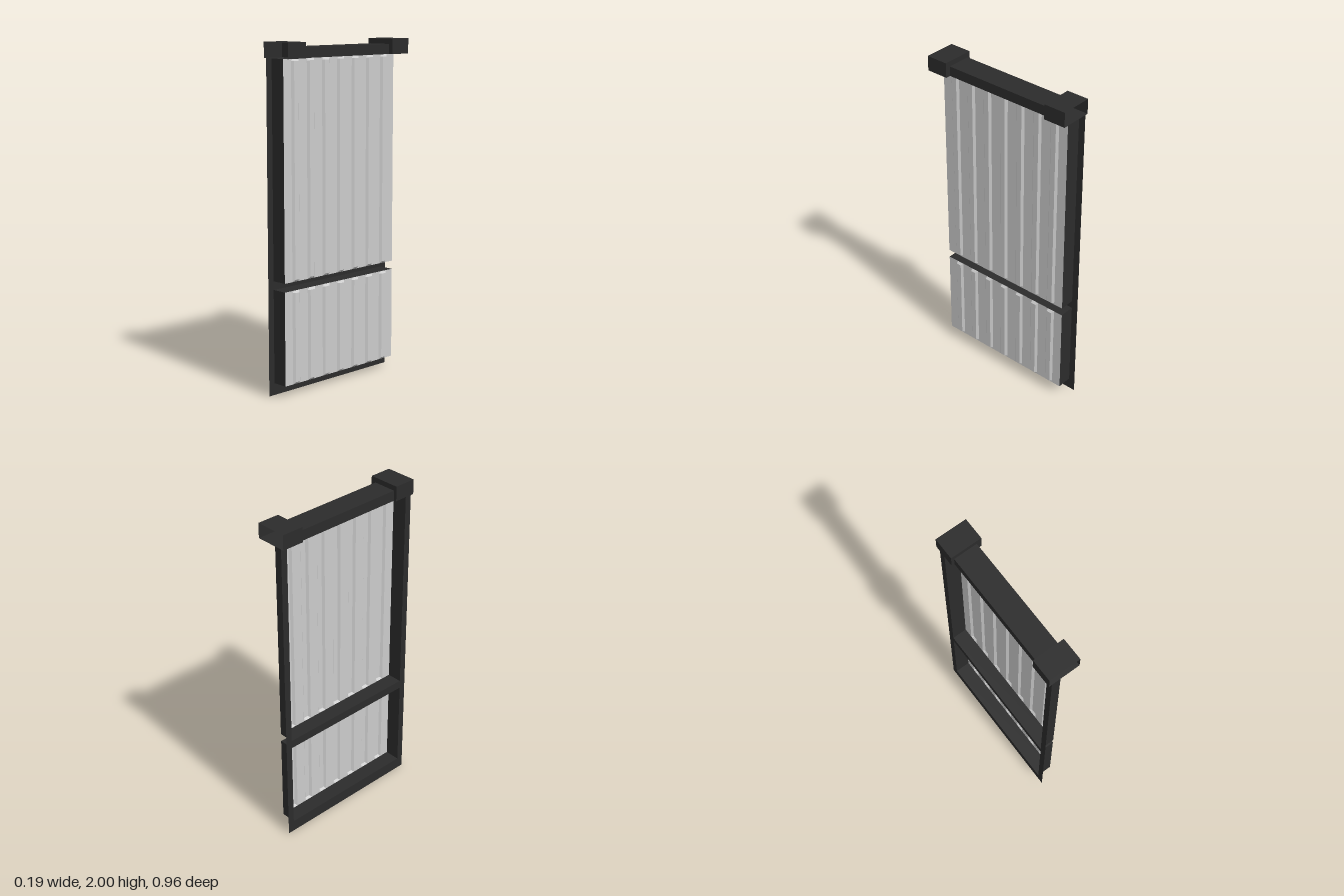
import * as THREE from 'three';

const dark = new THREE.MeshStandardMaterial({ color: 0x2b2b2b, side: THREE.DoubleSide, flatShading: true });
const grey = new THREE.MeshStandardMaterial({ color: 0xcccccc, side: THREE.DoubleSide, flatShading: true });

const BACK = -0.078, FRONT = 0.015; // depth of the panel trays along x
const HALF = 0.44;                  // half width of the openings along z
const TOP = 1.912;
const BAYS = [[0.07, 0.615], [0.665, TOP - 0.003]]; // lower and upper bay heights

function add(parent, name, geometry, material) {
  const mesh = new THREE.Mesh(geometry, material);
  mesh.name = name;
  parent.add(mesh);
  return mesh;
}

// Box between two corners, leaving out faces (0..5 = +x -x +y -y +z -z)
function box(min, max, open = []) {
  const g = new THREE.BoxGeometry(max[0] - min[0], max[1] - min[1], max[2] - min[2]);
  const index = Array.from(g.index.array).filter((_, i) => !open.includes(Math.floor(i / 6)));
  g.setIndex(index);
  g.clearGroups();
  g.translate((min[0] + max[0]) / 2, (min[1] + max[1]) / 2, (min[2] + max[2]) / 2);
  return g;
}

// Thin frame plate with one opening per bay
function framePlate() {
  const rect = (P, x0, x1, y0, y1) =>
    new P([[x0, y0], [x1, y0], [x1, y1], [x0, y1]].map(p => new THREE.Vector2(...p)));
  const shape = rect(THREE.Shape, -0.48, 0.48, 0, TOP);
  for (const [y0, y1] of BAYS) shape.holes.push(rect(THREE.Path, -HALF, HALF, y0, y1));
  return new THREE.ShapeGeometry(shape).rotateY(Math.PI / 2).translate(BACK, 0, 0);
}

// Ribbed sheet: a trapezoid profile along z, with ribs sloping to nothing at both ends
function ribbedSheet(y0, y1) {
  const profile = [[HALF, 0]];
  for (let i = 3; i >= -3; i--) {
    const z = i * 0.118;
    profile.push([z + 0.028, 0], [z + 0.016, 0.012], [z - 0.016, 0.012], [z - 0.028, 0]);
  }
  profile.push([-HALF, 0]);
  const rows = [[y0, 0], [y0 + 0.013, 1], [y1 - 0.013, 1], [y1, 0]];
  const pos = [], index = [], n = profile.length;
  for (const [y, k] of rows) for (const [z, h] of profile) pos.push(FRONT + h * k, y, z);
  for (let r = 0; r < rows.length - 1; r++) {
    for (let c = 0; c < n - 1; c++) {
      const a = r * n + c, b = a + 1, d = a + n, e = d + 1;
      index.push(a, b, e, a, e, d);
    }
  }
  const g = new THREE.BufferGeometry();
  g.setAttribute('position', new THREE.Float32BufferAttribute(pos, 3));
  g.setIndex(index);
  const flat = g.toNonIndexed();
  flat.computeVertexNormals();
  return flat;
}

export function createModel() {
  const model = new THREE.Group();
  model.name = 'wallPanel';

  add(model, 'framePlate', framePlate(), dark);

  // Each bay: four tray sides standing out from the plate, closed by a ribbed sheet
  BAYS.forEach(([y0, y1], i) => {
    const bay = new THREE.Group();
    bay.name = i ? 'upperBay' : 'lowerBay';
    add(bay, 'traySides', box([BACK, y0, -HALF], [FRONT, y1, HALF], [0, 1]), dark);
    add(bay, 'ribbedSheet', ribbedSheet(y0, y1), grey);
    model.add(bay);
  });

  // Top rail in two strips
  add(model, 'topRailBack', box([BACK, TOP, -0.345], [-0.027, 1.97, 0.345]), dark);
  add(model, 'topRailFront', box([-0.027, TOP, -0.345], [0.066, 1.97, 0.345]), dark);

  // End caps, open at their outer ends
  add(model, 'endCapFront', box([-0.096, TOP, 0.345], [0.096, 2, 0.48], [4]), dark);
  add(model, 'endCapBack', box([-0.096, TOP, -0.48], [0.096, 2, -0.345], [5]), dark);

  return model;
}
